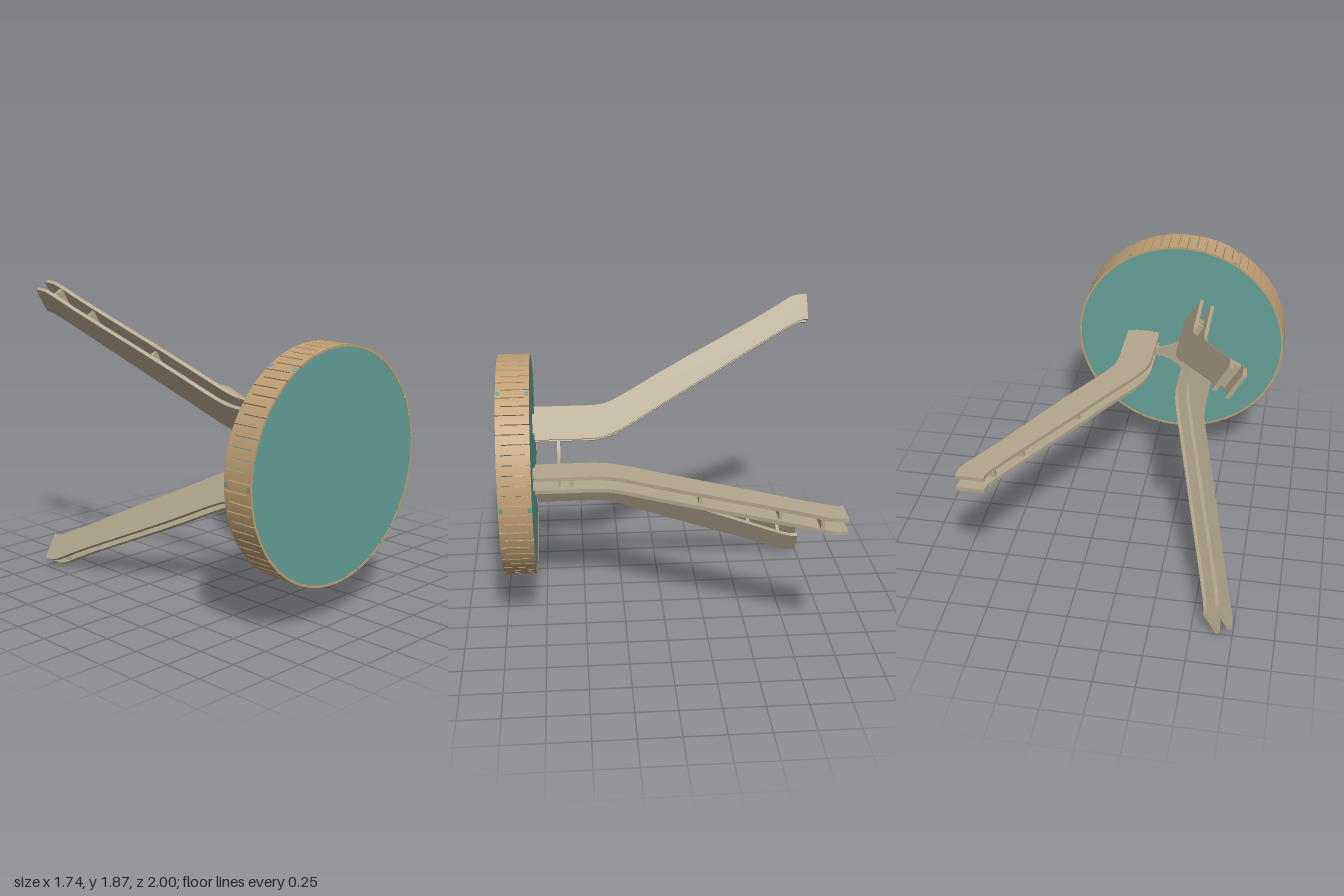
import * as THREE from 'three';

const mat = (color) => new THREE.MeshStandardMaterial({ color, side: THREE.DoubleSide });
const teal = mat(0x64a098), rimWood = mat(0xbf9f74), legWood = mat(0xb3a68c);
const R = 0.695, RIM = 0.014;
const V = (x, y) => new THREE.Vector2(x, y);

function add(parent, name, geometry, material) {
  const mesh = new THREE.Mesh(geometry, material);
  mesh.name = name;
  parent.add(mesh);
  return mesh;
}

// Curved piece of the rim between two angles and two depths
function rimPiece(a0, a1, z0, z1) {
  const s = new THREE.Shape();
  s.absarc(0, 0, R, a0, a1, false);
  s.absarc(0, 0, R - RIM, a1, a0, true);
  const g = new THREE.ExtrudeGeometry(s, { depth: z1 - z0, bevelEnabled: false, curveSegments: 2 });
  return g.translate(0, 0, z0);
}

// Round top: two panels inside a bent rim with saw slits
function createTop() {
  const top = new THREE.Group();
  top.name = 'top';
  for (const [name, z] of [['frontPanel', 0.985], ['backPanel', 0.815]]) {
    const g = new THREE.CylinderGeometry(R - RIM, R - RIM, 0.025, 96).rotateX(Math.PI / 2);
    add(top, name, g, teal).position.z = z;
    // Tabs that pass through the rim
    for (let i = 0; i < 6; i++) {
      const tab = new THREE.BoxGeometry(0.03, 0.03, 0.022).translate(R - 0.0145, 0, 0);
      add(top, 'panelTab', tab.rotateZ(i * Math.PI / 3), teal).position.z = z;
    }
  }
  const rim = new THREE.Group();
  rim.name = 'rim';
  top.add(rim);
  const n = 72, pitch = Math.PI * 2 / n, slit = 0.008;
  for (let i = 0; i < n; i++) {
    const a = (i + 0.5) * pitch;
    add(rim, 'rimStave', rimPiece(a + slit / 2, a + pitch - slit / 2, 0.8, 1), rimWood);
    // Uncut bridge, alternating between the two edges
    const [z0, z1] = i % 2 ? [0.8, 0.83] : [0.97, 1];
    add(rim, 'rimBridge', rimPiece(a - slit / 2, a + slit / 2, z0, z1), rimWood);
  }
  return top;
}

// Leg board outline: x is the distance from the centre, y the depth
function boardShape() {
  const s = new THREE.Shape();
  s.moveTo(0.141, 0.79);
  s.lineTo(0.355, 0.79);
  s.lineTo(0.355, 0.42);
  s.splineThru([V(0.386, 0.29), V(0.546, 0), V(0.655, -0.2), V(0.904, -0.67),
    V(1.02, -0.87), V(1.043, -0.93), V(1.048, -1)]);
  s.lineTo(0.88, -1);
  s.splineThru([V(0.872, -0.94), V(0.80, -0.8), V(0.568, -0.4), V(0.338, 0),
    V(0.22, 0.2), V(0.163, 0.32), V(0.141, 0.42)]);
  s.closePath();
  return s;
}

// Leg: two parallel boards with cross pieces between them
function createLeg() {
  const leg = new THREE.Group();
  leg.name = 'leg';
  const board = new THREE.ExtrudeGeometry(boardShape(),
    { depth: 0.024, bevelEnabled: false, curveSegments: 8 });
  board.rotateX(Math.PI / 2).translate(0, 0.012, 0);
  for (const side of [-1, 1]) {
    add(leg, 'legBoard', board, legWood).position.y = side * 0.041;
    const tenon = new THREE.BoxGeometry(0.12, 0.022, 0.03);
    add(leg, 'topTenon', tenon, legWood).position.set(0.248, side * 0.041, 0.79);
  }
  for (const [r, z, w] of [[0.25, 0.565, 0.12], [0.555, -0.2, 0.13], [0.80, -0.64, 0.13], [0.93, -0.86, 0.16]]) {
    add(leg, 'spacer', new THREE.BoxGeometry(w, 0.06, 0.022), legWood).position.set(r, 0, z);
  }
  return leg;
}

// Three-armed plate that joins the legs
function createHub() {
  const s = new THREE.Shape(), h = 0.029;
  const at = (x, y, a) => [x * Math.cos(a) - y * Math.sin(a), x * Math.sin(a) + y * Math.cos(a)];
  for (let k = 0; k < 3; k++) {
    const a = k * Math.PI * 2 / 3;
    if (k === 0) s.moveTo(...at(0.14, -h, a));
    s.lineTo(...at(0.3, -h, a));
    s.lineTo(...at(0.3, h, a));
    s.lineTo(...at(0.14, h, a));
    s.quadraticCurveTo(...at(0.04, 0, a + Math.PI / 3), ...at(0.14, -h, a + Math.PI * 2 / 3));
  }
  return new THREE.ExtrudeGeometry(s, { depth: 0.02, bevelEnabled: false }).translate(0, 0, 0.63);
}

export function createModel() {
  const model = new THREE.Group();
  model.name = 'table';
  model.position.set(-0.175, 0.935, 0);
  model.add(createTop());
  add(model, 'hub', createHub(), legWood);
  for (let k = 0; k < 3; k++) {
    const leg = createLeg();
    leg.rotation.z = k * Math.PI * 2 / 3;
    model.add(leg);
  }
  const root = new THREE.Group();
  root.add(model);
  return root;
}
